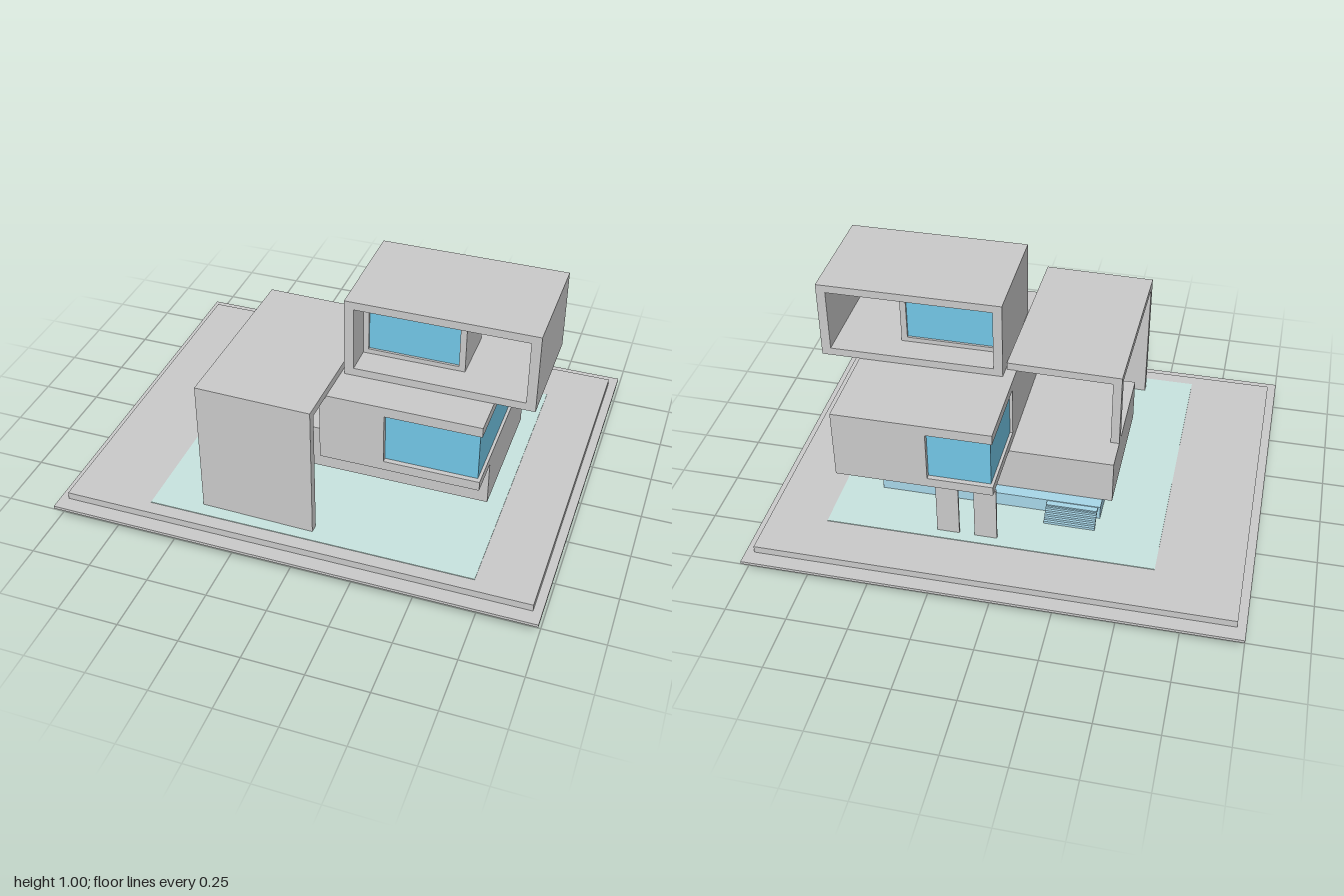
import * as THREE from 'three';

const mat = (color) => new THREE.MeshStandardMaterial({ color });
const grey = mat(0xcccccc);
const glass = mat(0x73c8e8);
const paleBlue = mat(0xa9d8ea);
const paleGreen = mat(0xc9e6e1);

// Box given by its limits on each axis
function box(parent, name, [x0, x1], [y0, y1], [z0, z1], material = grey) {
  const mesh = new THREE.Mesh(new THREE.BoxGeometry(x1 - x0, y1 - y0, z1 - z0), material);
  mesh.position.set((x0 + x1) / 2, (y0 + y1) / 2, (z0 + z1) / 2);
  mesh.name = name;
  parent.add(mesh);
  return mesh;
}

function group(parent, name) {
  const g = new THREE.Group();
  g.name = name;
  parent.add(g);
  return g;
}

// Shape from [u, v] points
const outline = (pts) => new THREE.Shape(pts.map(([u, v]) => new THREE.Vector2(u, v)));

const rect = (x0, x1, y0, y1) => [[x0, y0], [x1, y0], [x1, y1], [x0, y1]];

// Rectangular frame extruded along z
function frame(parent, name, outer, inner, [z0, z1]) {
  const shape = outline(rect(...outer));
  shape.holes.push(outline(rect(...inner)));
  const geo = new THREE.ExtrudeGeometry(shape, { depth: z1 - z0, bevelEnabled: false });
  const mesh = new THREE.Mesh(geo.translate(0, 0, z0), grey);
  mesh.name = name;
  parent.add(mesh);
}

export function createModel() {
  const model = new THREE.Group();
  model.name = 'house';

  // Site plates and lawn
  box(model, 'lowerBasePlate', [-1, 1], [0.07, 0.082], [-0.815, 0.815]);
  box(model, 'upperBasePlate', [-0.965, 0.965], [0.082, 0.112], [-0.752, 0.752]);
  box(model, 'lawn', [-0.62, 0.725], [0.112, 0.115], [-0.545, 0.695], paleGreen);

  // Plinth and ground floor
  box(model, 'plinth', [-0.36, 0.56], [0.112, 0.175], [-0.3, 0.2], paleBlue);
  box(model, 'groundFloor', [-0.4, 0.672], [0.175, 0.365], [-0.25, 0.32]);

  // Thin folded stair at the back, with a landing
  const stair = group(model, 'backStair');
  box(stair, 'landing', [-0.35, -0.14], [0.162, 0.172], [-0.325, -0.29], paleBlue);
  const steps = 5;
  for (let i = 0; i < steps; i++) {
    const z = -0.318 - i * 0.011;
    const y = 0.166 - i * 0.01;
    box(stair, 'step', [-0.35, -0.14], [y - 0.013, y], [z - 0.014, z], paleBlue);
  }

  // Middle floor: two slabs, a solid core and two glazed corners
  const middle = group(model, 'middleFloor');
  const [x0, x1, z0, z1] = [0.03, 0.672, -0.53, 0.483];
  box(middle, 'floorSlab', [x0, x1], [0.365, 0.405], [z0, z1]);
  box(middle, 'roofSlab', [x0, x1], [0.62, 0.662], [z0, z1]);
  const plan = outline([
    [x0, -z1], [0.29, -z1], [0.29, 0.145], [x1, 0.145],
    [x1, -z0], [0.295, -z0], [0.295, 0.18], [x0, 0.18],
  ]);
  const coreGeo = new THREE.ExtrudeGeometry(plan, { depth: 0.215, bevelEnabled: false });
  coreGeo.rotateX(-Math.PI / 2).translate(0, 0.405, 0);
  const core = new THREE.Mesh(coreGeo, grey);
  core.name = 'coreWalls';
  middle.add(core);
  box(middle, 'frontCornerGlass', [0.29, 0.66], [0.405, 0.62], [-0.145, 0.462], glass);
  box(middle, 'backCornerGlass', [0.042, 0.295], [0.405, 0.62], [-0.509, -0.18], glass);

  // Flat legs carrying the back of the middle floor
  for (const x of [0.025, 0.18]) {
    box(model, 'backLeg', [x, x + 0.092], [0, 0.365], [-0.503, -0.493]);
  }

  // Top floor: open tube with a glazed room inside
  const top = group(model, 'topFloor');
  frame(top, 'tubeFrame', [0.075, 0.83, 0.662, 0.995], [0.113, 0.792, 0.695, 0.962], [-0.153, 0.322]);
  frame(top, 'roomWalls', [0.113, 0.525, 0.695, 0.962], [0.135, 0.5, 0.715, 0.945], [-0.04, 0.205]);
  box(top, 'roomGlass', [0.135, 0.5], [0.715, 0.945], [-0.03, 0.195], glass);

  // Slightly turned canopy: front wall, roof and back posts
  const canopy = group(model, 'canopy');
  canopy.position.set(-0.172, 0, 0.269);
  canopy.rotation.y = -0.02;
  const hw = 0.235;
  const hl = 0.374;
  box(canopy, 'canopyRoof', [-hw, hw], [0.66, 0.693], [-hl, hl]);
  box(canopy, 'canopyFrontWall', [-hw, hw], [0, 0.66], [hl - 0.036, hl]);
  box(canopy, 'canopyPost', [-hw, -hw + 0.036], [0.365, 0.66], [-hl, -hl + 0.036]);

  return model;
}
